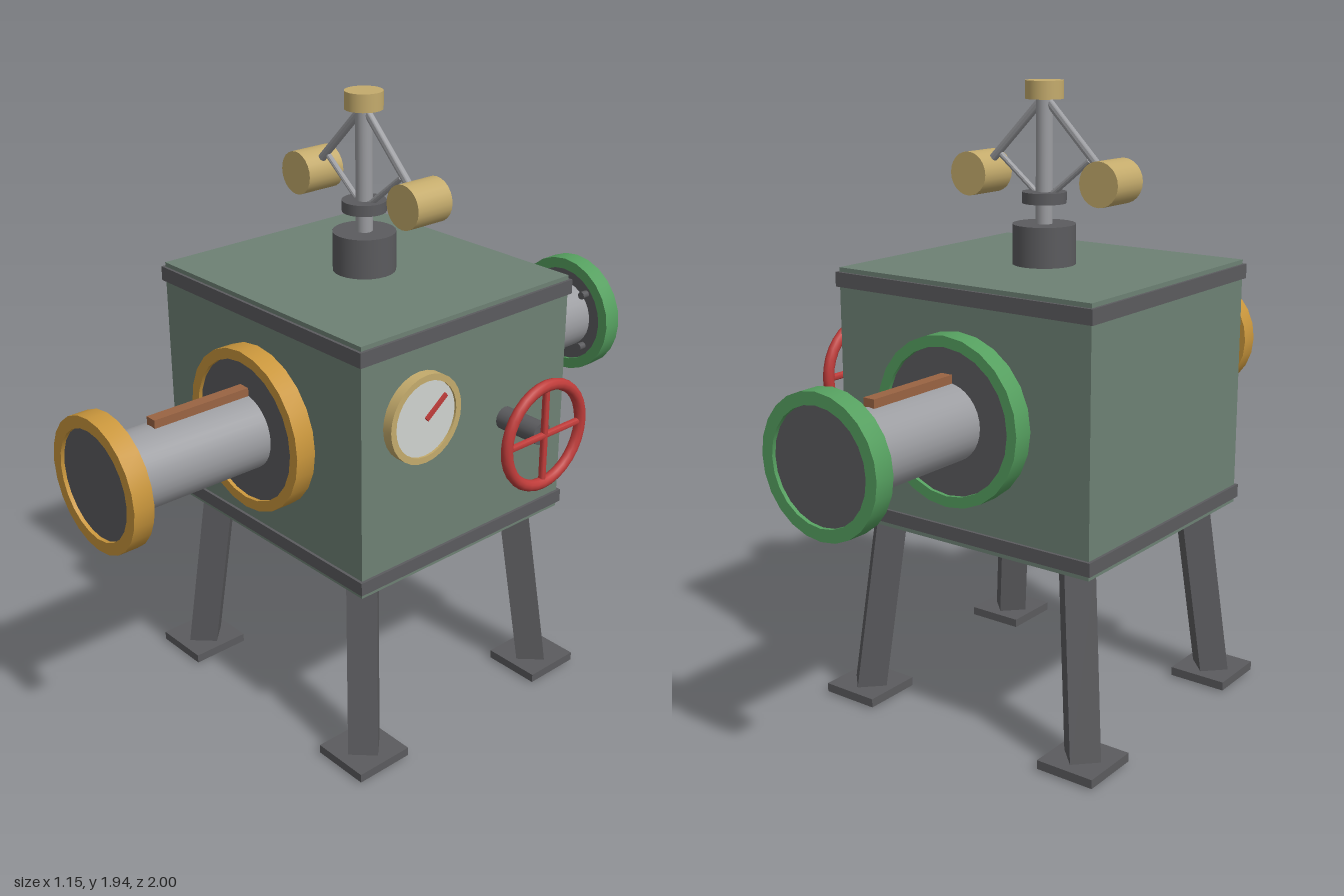
import * as THREE from 'three';
import { toCreasedNormals } from 'three/addons/utils/BufferGeometryUtils.js';

const mat = (name, color) => new THREE.MeshStandardMaterial({ name, color });
const CX = -0.062; // centre line of the machine body
const PIPE_Y = 1.008; // height of the pipe and hand wheel axes

export function createModel() {
  const M = {
    body: mat('grey green paint', 0x6d8174),
    iron: mat('dark iron', 0x5b5b5e),
    steel: mat('light steel', 0x9c9da1),
    amber: mat('amber flange', 0xc9963c),
    green: mat('green flange', 0x559f5f),
    brass: mat('pale brass', 0xc4ab6c),
    red: mat('red paint', 0xbf3c3a),
    copper: mat('copper', 0x9a6443),
    dial: mat('dial white', 0xcfd3cf),
  };
  const root = new THREE.Group();
  root.name = 'valveMachine';

  const add = (parent, name, geometry, material, x = 0, y = 0, z = 0) => {
    const mesh = new THREE.Mesh(geometry, material);
    mesh.name = name;
    mesh.position.set(x, y, z);
    parent.add(mesh);
    return mesh;
  };
  const group = (name, x, y, z) => {
    const g = new THREE.Group();
    g.name = name;
    g.position.set(x, y, z);
    root.add(g);
    return g;
  };
  const box = (w, h, d) => new THREE.BoxGeometry(w, h, d);
  const cyl = (r, h, n = 24) => new THREE.CylinderGeometry(r, r, h, n);
  // Cylinder lying along z, from z0 to z1
  const zCyl = (r, z0, z1, n) => cyl(r, z1 - z0, n).rotateX(Math.PI / 2).translate(0, 0, (z0 + z1) / 2);
  // Square-edged ring around the z axis
  const zRing = (inner, outer, z0, z1, n = 24) => {
    const p = [[inner, z0], [outer, z0], [outer, z1], [inner, z1], [inner, z0]];
    const g = new THREE.LatheGeometry(p.map(([r, z]) => new THREE.Vector2(r, z)), n);
    return toCreasedNormals(g.rotateX(Math.PI / 2), 0.6);
  };
  // Straight bar between two points
  const rod = (parent, name, a, b, r, material, n = 10) => {
    const from = new THREE.Vector3(...a);
    const dir = new THREE.Vector3(...b).sub(from);
    const g = toCreasedNormals(cyl(r, dir.length(), n), 0.8);
    const mesh = add(parent, name, g, material);
    mesh.position.copy(from).addScaledVector(dir, 0.5);
    mesh.quaternion.setFromUnitVectors(new THREE.Vector3(0, 1, 0), dir.normalize());
    return mesh;
  };

  // Cabinet with iron bands
  add(root, 'cabinet', box(0.912, 0.79, 0.836), M.body, CX, 1.005, 0);
  add(root, 'upperBand', box(0.93, 0.045, 0.854), M.iron, CX, 1.364, 0);
  add(root, 'lowerBand', box(0.93, 0.042, 0.854), M.iron, CX, 0.647, 0);

  // Splayed square legs set cornerwise, on flat feet
  for (const sx of [-1, 1]) {
    for (const sz of [-1, 1]) {
      rod(root, 'leg', [CX + sx * 0.418, 0.01, sz * 0.38], [CX + sx * 0.353, 0.62, sz * 0.325], 0.065, M.iron, 4);
      add(root, 'foot', box(0.192, 0.028, 0.194), M.iron, CX + sx * 0.418, 0.025, sz * 0.38);
    }
  }

  // Flanged pipe, made towards +z and turned round for the back
  const pipe = (name, paint, turn) => {
    const g = group(name, CX, PIPE_Y, 0);
    g.rotation.y = turn;
    add(g, 'wallFlangeRing', zRing(0.222, 0.255, 0.41, 0.484), paint);
    add(g, 'wallFlangePlate', zCyl(0.225, 0.41, 0.472, 24), M.iron);
    add(g, 'pipeTube', zCyl(0.118, 0.46, 0.96, 32), M.steel);
    add(g, 'endFlangeRing', zRing(0.167, 0.204, 0.936, 1), paint);
    add(g, 'endFlangePlate', zCyl(0.17, 0.945, 0.988, 24), M.iron);
    add(g, 'copperStrip', box(0.038, 0.04, 0.34), M.copper, 0, 0.122, 0.63);
    for (let i = 0; i < 4; i++) {
      const a = Math.PI / 4 + (i * Math.PI) / 2;
      add(g, 'flangeBolt', zCyl(0.014, 0.918, 0.95, 8), M.iron, Math.cos(a) * 0.137, Math.sin(a) * 0.137, 0);
    }
  };
  pipe('frontPipe', M.amber, 0);
  pipe('backPipe', M.green, Math.PI);

  // Flyweight governor on the lid
  const gov = group('governor', CX, 0, 0);
  add(gov, 'governorBase', cyl(0.097, 0.125), M.iron, 0, 1.46, 0);
  add(gov, 'spindle', cyl(0.026, 0.4, 16), M.steel, 0, 1.71, 0);
  add(gov, 'slidingCollar', cyl(0.068, 0.034), M.iron, 0, 1.602, 0);
  add(gov, 'spindleCap', cyl(0.058, 0.054), M.brass, 0, 1.92, 0);
  for (const s of [-1, 1]) {
    add(gov, 'flyweight', zCyl(0.067, -0.067, 0.067, 24), M.brass, s * 0.239, 1.662, 0);
    rod(gov, 'upperArm', [s * 0.01, 1.89, 0], [s * 0.225, 1.675, 0], 0.013, M.steel);
    rod(gov, 'lowerLink', [s * 0.025, 1.61, 0], [s * 0.162, 1.72, 0], 0.009, M.steel);
  }

  // Dial gauge facing +x (local z points out of the wall, local x to the back)
  const gauge = group('gauge', 0.39, 1.128, 0.2);
  gauge.rotation.y = Math.PI / 2;
  add(gauge, 'gaugeRim', zRing(0.117, 0.137, 0, 0.037, 28), M.brass);
  add(gauge, 'gaugeFace', zCyl(0.12, 0, 0.03, 28), M.dial);
  const needle = add(gauge, 'gaugeNeedle', box(0.095, 0.013, 0.008), M.red, 0.037, 0.028, 0.037);
  needle.rotation.z = 0.65;

  // Hand wheel facing +x
  const wheel = group('handWheel', 0.39, PIPE_Y, -0.158);
  wheel.rotation.y = Math.PI / 2;
  add(wheel, 'wheelShaft', zCyl(0.036, 0, 0.155, 16), M.iron);
  add(wheel, 'wheelRim', new THREE.TorusGeometry(0.159, 0.018, 10, 32), M.red, 0, 0, 0.165);
  rod(wheel, 'wheelSpoke', [-0.159, 0, 0.165], [0.159, 0, 0.165], 0.011, M.red);
  rod(wheel, 'wheelSpoke', [0, -0.159, 0.165], [0, 0.159, 0.165], 0.011, M.red);

  return root;
}
